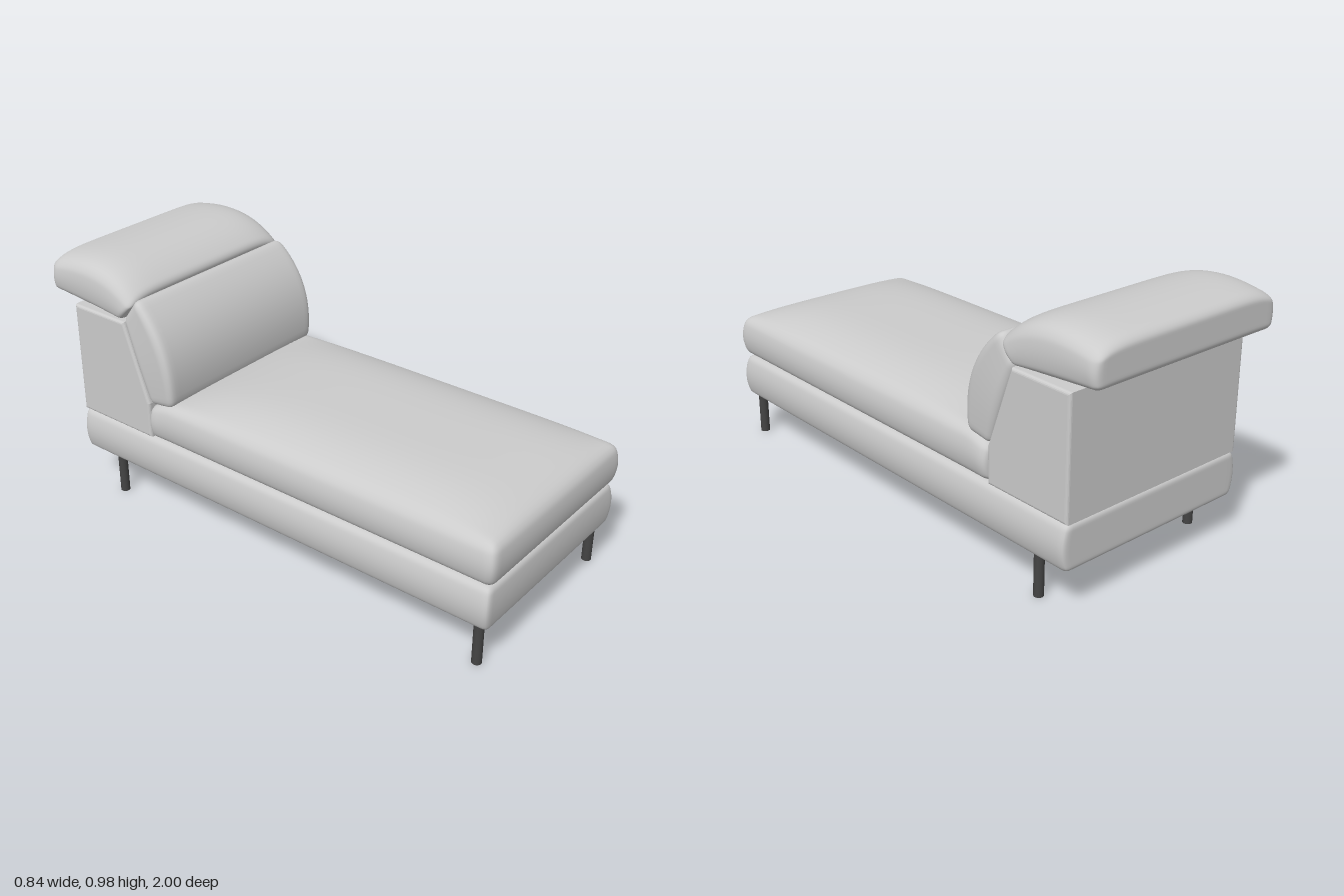
import * as THREE from 'three';
import { mergeVertices } from 'three/addons/utils/BufferGeometryUtils.js';

const fabric = new THREE.MeshStandardMaterial({ color: 0xcccccc });
const legMaterial = new THREE.MeshStandardMaterial({ color: 0x444444 });

// Rounded box with dense edges; warp receives the point and its -1..1 coordinates.
function softBlock(name, size, r, warp) {
  let geo = new THREE.BoxGeometry(2, 2, 2, 32, 24, 36);
  geo.deleteAttribute('normal');
  geo.deleteAttribute('uv');
  geo = mergeVertices(geo);
  const half = new THREE.Vector3(...size).multiplyScalar(0.5);
  const inner = half.clone().subScalar(r);
  const pos = geo.attributes.position;
  const p = new THREE.Vector3();
  const core = new THREE.Vector3();
  const spread = (u) => Math.sin((u * Math.PI) / 2);
  for (let i = 0; i < pos.count; i++) {
    p.fromBufferAttribute(pos, i);
    p.set(spread(p.x), spread(p.y), spread(p.z)).multiply(half);
    core.copy(p).clamp(inner.clone().negate(), inner);
    p.sub(core);
    if (p.lengthSq() > 0) p.setLength(r);
    p.add(core);
    warp(p, p.clone().divide(half));
    pos.setXYZ(i, p.x, p.y, p.z);
  }
  geo.computeVertexNormals();
  const mesh = new THREE.Mesh(geo, fabric);
  mesh.name = name;
  return mesh;
}

// Push the sides outwards at mid height
const bulge = (p, n, amount) => {
  p.x += amount * n.x * (1 - n.y * n.y);
};

// Quadratic curve through (z, y) control points
const curve = (a, b, c) =>
  new THREE.QuadraticBezierCurve(new THREE.Vector2(...a), new THREE.Vector2(...b), new THREE.Vector2(...c));

export function createModel() {
  const group = new THREE.Group();
  group.name = 'chaiseLongue';

  // Upholstered base
  group.add(softBlock('base', [0.8, 0.175, 1.87], 0.022, (p, n) => {
    bulge(p, n, 0.02);
    p.y += 0.2475;
    p.z += 0.045 + 0.01 * Math.max(0, n.z) * (1 - n.y * n.y);
  }));

  // Crowned seat cushion, sloping down under the back cushion
  group.add(softBlock('seatCushion', [0.8, 0.165, 1.505], 0.03, (p, n) => {
    bulge(p, n, 0.02);
    const along = n.z > 0 ? 1 - n.z ** 6 : 1 - 1.5 * (-n.z) ** 3.3;
    const across = 1 - Math.abs(n.x) ** 3.8;
    const lift = (n.y + 1) / 2;
    p.y += 0.4175 + 0.06 * lift * along * (along > 0 ? across : 1);
    p.z += 0.2325 + 0.015 * Math.max(0, n.z) * (1 - n.y * n.y);
  }));

  // Backrest body with slanted front
  const side = new THREE.Shape([
    [-0.878, 0.345], [-0.53, 0.345], [-0.53, 0.475], [-0.635, 0.77], [-0.878, 0.77],
  ].map(([z, y]) => new THREE.Vector2(z, y)));
  const bevel = 0.011;
  const bodyGeo = new THREE.ExtrudeGeometry(side, {
    depth: 0.812 - 2 * bevel, bevelSize: bevel, bevelThickness: bevel, bevelSegments: 4,
  });
  bodyGeo.translate(0, 0, -0.406 + bevel).rotateY(-Math.PI / 2);
  const body = new THREE.Mesh(bodyGeo, fabric);
  body.name = 'backrestBody';
  group.add(body);

  // Back cushion spans a straight rear line and a curved front line
  const rear = curve([-0.52, 0.472], [-0.575, 0.63], [-0.635, 0.79]);
  const front = curve([-0.405, 0.485], [-0.375, 0.74], [-0.565, 0.888]);
  group.add(softBlock('backCushion', [0.8, 0.38, 0.13], 0.028, (p, n) => {
    const t = (n.y + 1) / 2;
    const q = rear.getPoint(t).lerp(front.getPoint(t), (n.z + 1) / 2);
    bulge(p, n, 0.01);
    p.z = q.x;
    p.y = q.y;
  }));

  // Headrest spans a flat underside and an arched top
  const under = curve([-1.0, 0.815], [-0.81, 0.797], [-0.635, 0.787]);
  const top = curve([-1.0, 0.955], [-0.71, 1.03], [-0.572, 0.885]);
  group.add(softBlock('headrest', [0.81, 0.15, 0.41], 0.028, (p, n) => {
    const t = (n.z + 1) / 2;
    const lift = (n.y + 1) / 2;
    const q = under.getPoint(t).lerp(top.getPoint(t), lift);
    bulge(p, n, 0.012);
    p.z = q.x;
    p.y = q.y - 0.035 * lift * Math.abs(n.x) ** 8;
  }));

  // Four round legs
  const legGeo = new THREE.CylinderGeometry(0.018, 0.018, 0.17, 24);
  for (const x of [-0.37, 0.37]) {
    for (const z of [-0.735, 0.935]) {
      const leg = new THREE.Mesh(legGeo, legMaterial);
      leg.name = 'leg';
      leg.position.set(x, 0.085, z);
      group.add(leg);
    }
  }
  return group;
}
